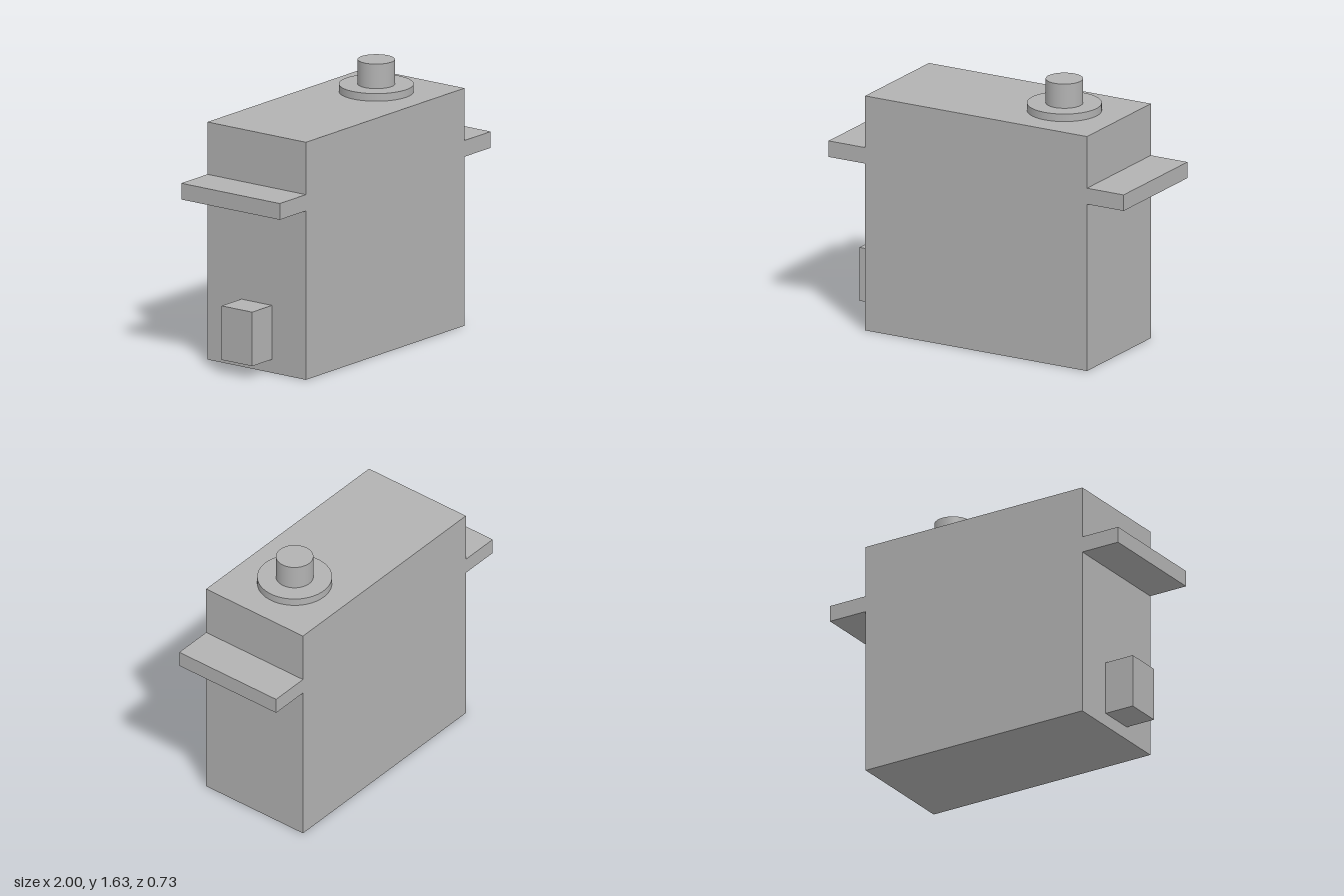
import * as THREE from 'three';

export function createModel() {
  const model = new THREE.Group();
  const grey = new THREE.MeshStandardMaterial({ color: 0xb2b2b2 });
  grey.name = 'grey';

  const add = (name, geometry, x, y, z = 0) => {
    const mesh = new THREE.Mesh(geometry, grey);
    mesh.name = name;
    mesh.position.set(x, y, z);
    model.add(mesh);
  };

  const depth = 0.726;
  const bodyWidth = 1.504;
  const bodyHeight = 1.434;

  // Main case
  add('case', new THREE.BoxGeometry(bodyWidth, bodyHeight, depth), 0, bodyHeight / 2);

  // Mounting tabs on both ends
  const tabLength = 1 - bodyWidth / 2;
  for (const [name, side] of [['leftMountingTab', 1], ['rightMountingTab', -1]]) {
    add(name, new THREE.BoxGeometry(tabLength, 0.098, depth), side * (1 - tabLength / 2), 1.069);
  }

  // Cable outlet low on the right end
  add('cableOutlet', new THREE.BoxGeometry(0.188, 0.326, 0.226), -0.846, 0.244);

  // Output collar and shaft
  const shaftX = 0.382;
  add('outputCollar', new THREE.CylinderGeometry(0.218, 0.218, 0.046, 64), shaftX, bodyHeight + 0.023);
  add('outputShaft', new THREE.CylinderGeometry(0.109, 0.109, 0.148, 64), shaftX, 1.554);

  return model;
}
